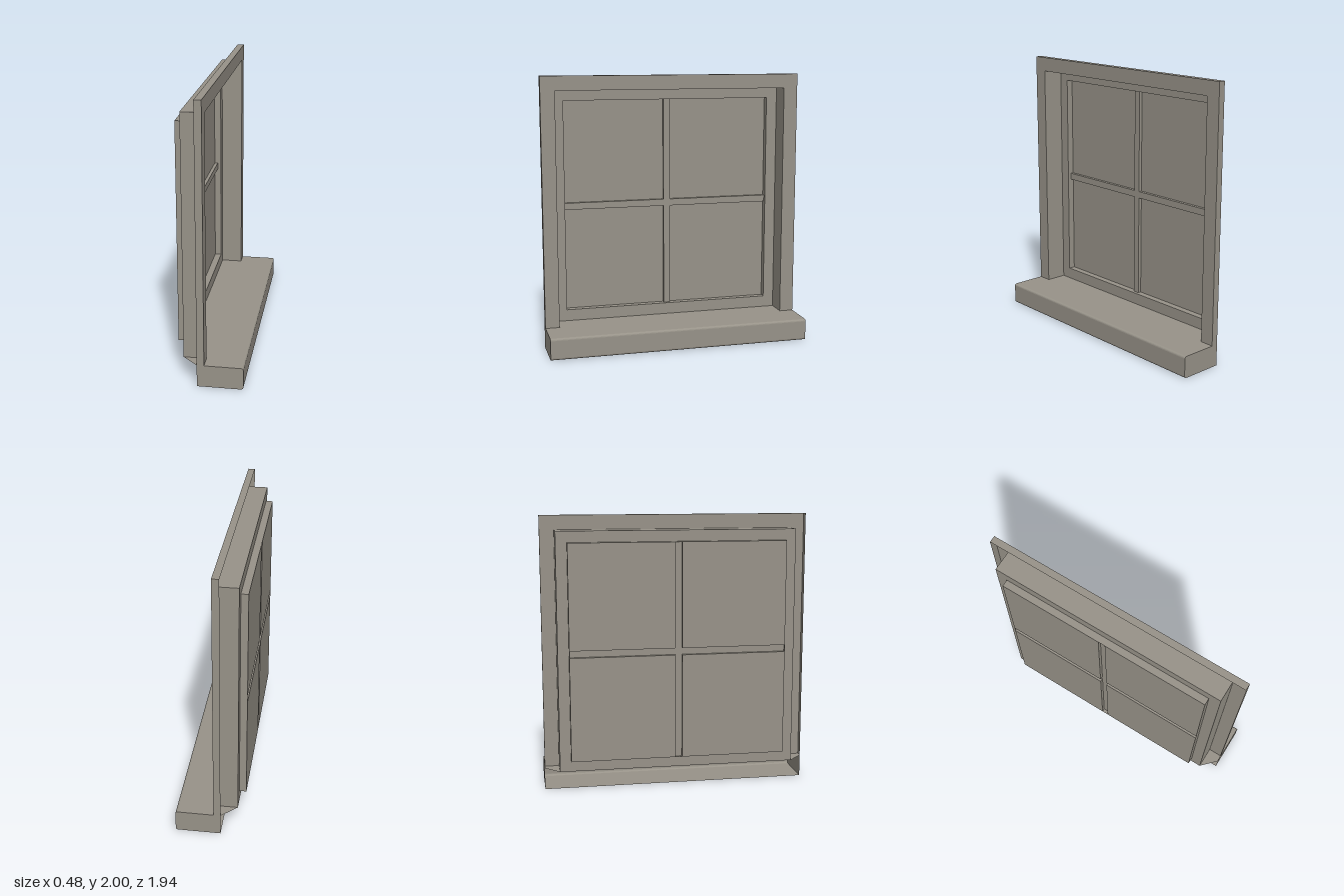
import * as THREE from 'three';
import { mergeGeometries } from 'three/addons/utils/BufferGeometryUtils.js';

const HALF = 0.97;       // half width of casing and sill
const SILL_Y = 0.16;     // top of the sill
const FRONT = -0.03, CASING_BACK = -0.08, JAMB_BACK = -0.19, GLASS = -0.24, BAR = -0.215;
const OPENING = { z0: -0.865, z1: 0.865, y0: SILL_Y, y1: 1.895 };
const SASH = { z0: -0.785, z1: 0.785, y0: 0.245, y1: 1.815 };
const OUTER = { z0: -HALF, z1: HALF, y0: SILL_Y, y1: 2 };

// Flat four-cornered face
function quad(a, b, c, d) {
  const g = new THREE.BufferGeometry();
  g.setAttribute('position', new THREE.Float32BufferAttribute([...a, ...b, ...c, ...a, ...c, ...d], 3));
  g.computeVertexNormals();
  return g;
}

// Upright rectangle facing +x
function panel(x, r) {
  return quad([x, r.y0, r.z1], [x, r.y0, r.z0], [x, r.y1, r.z0], [x, r.y1, r.z1]);
}

// Upright frame facing +x, made of four strips round a hole
function frame(x, o, i) {
  return [
    { ...o, z1: i.z0 }, { ...o, z0: i.z1 },
    { z0: i.z0, z1: i.z1, y0: i.y1, y1: o.y1 },
    { z0: i.z0, z1: i.z1, y0: o.y0, y1: i.y0 },
  ].filter((r) => r.y1 > r.y0).map((r) => panel(x, r));
}

// Walls running in depth along the chosen sides of a rectangle
function walls(r, xa, xb, sides) {
  const ends = {
    left: [r.z1, r.y0, r.z1, r.y1], right: [r.z0, r.y1, r.z0, r.y0],
    top: [r.z1, r.y1, r.z0, r.y1], bottom: [r.z0, r.y0, r.z1, r.y0],
  };
  return sides.map((s) => {
    const [z0, y0, z1, y1] = ends[s];
    return quad([xa, y0, z0], [xb, y0, z0], [xb, y1, z1], [xa, y1, z1]);
  });
}

export function createModel() {
  const model = new THREE.Group();
  model.name = 'window';
  const paint = new THREE.MeshStandardMaterial({ color: 0x989389, side: THREE.DoubleSide });
  paint.name = 'warm grey paint';
  const add = (name, parts) => {
    const mesh = new THREE.Mesh(mergeGeometries(parts), paint);
    mesh.name = name;
    model.add(mesh);
  };

  // Casing: front trim with a turned-back rim, open behind
  add('casing', [
    ...frame(FRONT, OUTER, OPENING),
    ...walls(OUTER, CASING_BACK, FRONT, ['left', 'right', 'top']),
  ]);

  // Jamb: lining of the opening and the flat stop at its back
  add('jamb', [
    ...walls(OPENING, JAMB_BACK, FRONT, ['left', 'right', 'top']),
    ...frame(JAMB_BACK, OPENING, SASH),
  ]);

  // Sash: shallow box behind the stop
  add('sash', walls(SASH, GLASS, JAMB_BACK, ['left', 'right', 'top', 'bottom']));

  // Four panes, with the inner edges that step up to the glazing bars
  const bz = 0.025, by0 = 1.005, by1 = 1.055;
  const panes = [], bars = [];
  for (const left of [true, false]) {
    for (const upper of [true, false]) {
      const r = {
        z0: left ? bz : SASH.z0, z1: left ? SASH.z1 : -bz,
        y0: upper ? by1 : SASH.y0, y1: upper ? SASH.y1 : by0,
      };
      panes.push(panel(GLASS, r));
      bars.push(...walls(r, GLASS, BAR, [left ? 'right' : 'left', upper ? 'bottom' : 'top']));
    }
  }
  bars.push(
    panel(BAR, { ...SASH, z0: -bz, z1: bz }),
    panel(BAR, { z0: SASH.z0, z1: -bz, y0: by0, y1: by1 }),
    panel(BAR, { z0: bz, z1: SASH.z1, y0: by0, y1: by1 }),
  );
  add('panes', panes);
  add('glazingBars', bars);

  // Sill: profile with softened front edges, open behind
  const r = 0.016, xf = 0.24;
  const profile = [[CASING_BACK, 0]];
  for (let i = 0; i <= 4; i++) {
    const a = (i / 4) * Math.PI / 2;
    profile.push([xf - r + r * Math.sin(a), r - r * Math.cos(a)]);
  }
  for (let i = 0; i <= 4; i++) {
    const a = (i / 4) * Math.PI / 2;
    profile.push([xf - r + r * Math.cos(a), SILL_Y - r + r * Math.sin(a)]);
  }
  profile.push([CASING_BACK, SILL_Y]);
  const sill = [];
  for (let i = 0; i < profile.length - 1; i++) {
    const [xa, ya] = profile[i], [xb, yb] = profile[i + 1];
    sill.push(quad([xa, ya, HALF], [xa, ya, -HALF], [xb, yb, -HALF], [xb, yb, HALF]));
  }
  // Tapered ledge carrying the sill top back under the jamb
  const zi = OPENING.z1;
  sill.push(quad([CASING_BACK, SILL_Y, HALF], [CASING_BACK, SILL_Y, -HALF],
    [JAMB_BACK, SILL_Y, -zi], [JAMB_BACK, SILL_Y, zi]));
  add('sill', sill);

  // Sill ends
  const cap = new THREE.ShapeGeometry(new THREE.Shape(profile.map(([x, y]) => new THREE.Vector2(x, y))));
  add('sillEnds', [cap.clone().translate(0, 0, HALF), cap.clone().rotateY(Math.PI).scale(-1, 1, 1)
    .translate(0, 0, -HALF)].map((g, i) => {
    // The mirrored end gets its corner order reversed to face outward
    if (i) g.setIndex([...g.index.array].reverse());
    g.computeVertexNormals();
    return g;
  }));
  return model;
}
